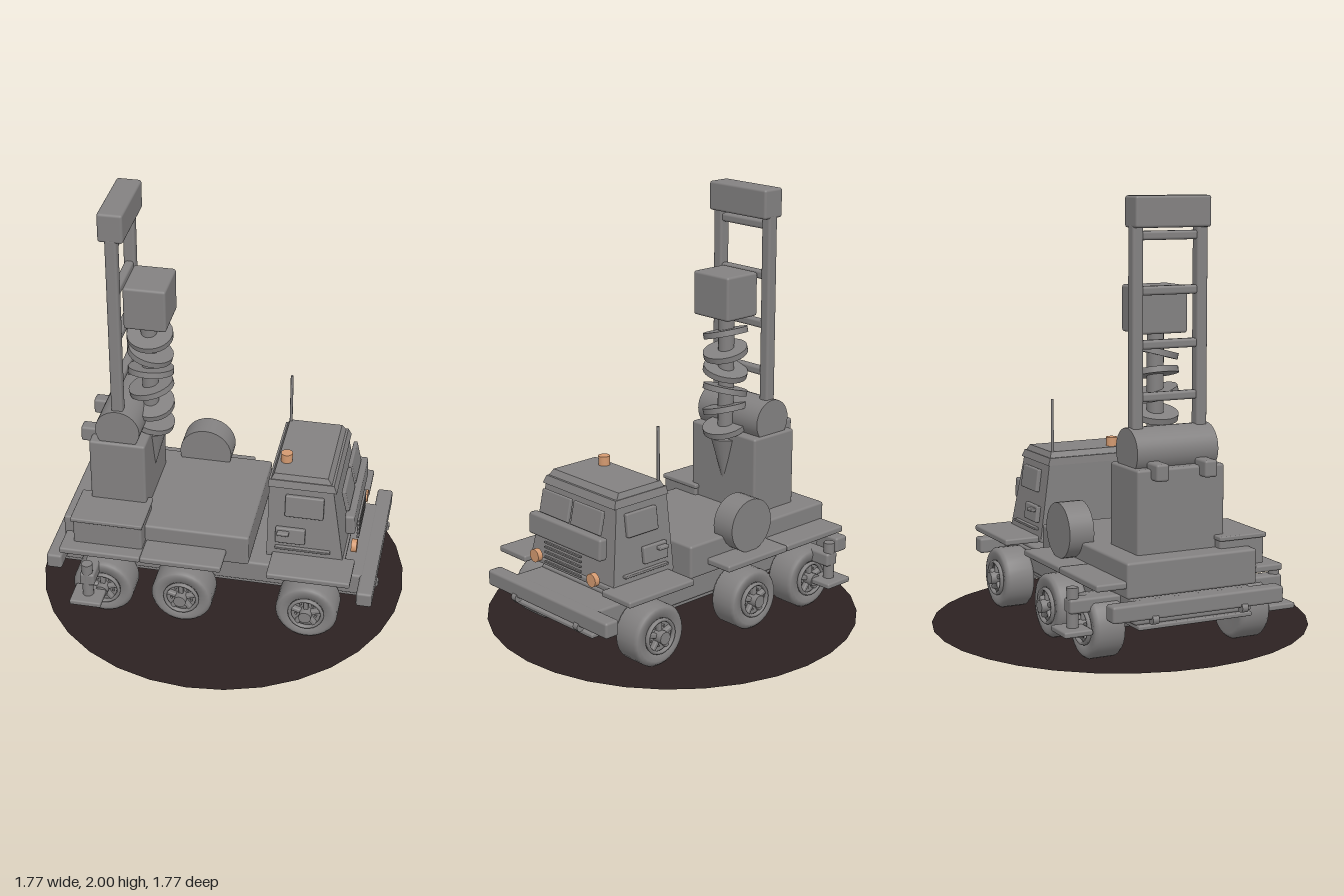
import * as THREE from 'three';
import { RoundedBoxGeometry } from 'three/addons/geometries/RoundedBoxGeometry.js';

const mat = (name, color, extra = {}) => {
  const m = new THREE.MeshStandardMaterial({ color, ...extra });
  m.name = name;
  return m;
};

export function createModel() {
  const grey = mat('paintedMetal', 0x838181);
  const amber = mat('amberLamp', 0xd49a70);
  const soil = mat('darkGround', 0x2c2222, { side: THREE.DoubleSide });
  const model = new THREE.Group();
  model.name = 'drillTruck';

  const add = (name, geo, x, y, z, parent = model, material = grey) => {
    const m = new THREE.Mesh(geo, material);
    m.name = name;
    m.position.set(x, y, z);
    parent.add(m);
    return m;
  };
  // Softened box given by its bounds
  const box = (name, x0, x1, y0, y1, z0, z1, parent = model) => {
    const w = x1 - x0, h = y1 - y0, d = z1 - z0;
    const r = Math.min(0.012, Math.min(w, h, d) * 0.3);
    return add(name, new RoundedBoxGeometry(w, h, d, 2, r), (x0 + x1) / 2, (y0 + y1) / 2, (z0 + z1) / 2, parent);
  };
  // Same box on both sides, z0 < z1 given for the +z side
  const pair = (name, x0, x1, y0, y1, z0, z1) => {
    box(name, x0, x1, y0, y1, z0, z1);
    box(name, x0, x1, y0, y1, -z1, -z0);
  };
  const cyl = (name, r, len, axis, x, y, z, sides = 24, parent = model, material = grey) => {
    const g = new THREE.CylinderGeometry(r, r, len, sides);
    if (axis === 'z') g.rotateX(Math.PI / 2);
    if (axis === 'x') g.rotateZ(-Math.PI / 2);
    return add(name, g, x, y, z, parent, material);
  };

  // Ground disc
  add('groundDisc', new THREE.CircleGeometry(0.885, 32).rotateX(-Math.PI / 2), 0, 0.005, 0, model, soil);

  // Chassis
  box('chassis', -0.72, 0.72, 0.18, 0.29, -0.29, 0.29);
  box('chassisFlange', -0.74, 0.74, 0.162, 0.182, -0.28, 0.28);
  for (const s of [-1, 1]) {
    box('bumper', s * 0.74 - 0.037, s * 0.74 + 0.037, 0.215, 0.29, -0.42, 0.42);
    for (const z of [-0.22, 0.22]) {
      cyl('towHook', 0.022, 0.03, 'z', s * 0.765, 0.213, z, 12);
    }
  }
  box('rearBed', -0.71, 0.18, 0.295, 0.455, -0.32, 0.32);
  pair('rearMudguard', -0.70, -0.312, 0.34, 0.372, 0.29, 0.46);
  pair('middleMudguard', -0.312, 0.073, 0.34, 0.372, 0.29, 0.46);
  pair('frontMudguard', 0.287, 0.675, 0.342, 0.372, 0.27, 0.46);
  box('cabMount', 0.31, 0.57, 0.27, 0.305, -0.28, 0.28);
  box('toolBox', -0.645, -0.315, 0.345, 0.495, 0.17, 0.395);
  box('toolBoxLid', -0.655, -0.31, 0.488, 0.51, 0.165, 0.402);
  cyl('sideDrum', 0.128, 0.12, 'z', -0.145, 0.495, -0.325, 28);

  // Wheels: rounded tyre, recessed rim, hub, spokes and nuts
  const tyreGeo = new THREE.LatheGeometry([
    [0.078, 0.05], [0.085, 0.068], [0.12, 0.075], [0.135, 0.07], [0.146, 0.056],
    [0.146, -0.056], [0.135, -0.07], [0.12, -0.075], [0.08, -0.07], [0, -0.07],
  ].reverse().map(([r, y]) => new THREE.Vector2(r, y)), 28).rotateX(Math.PI / 2);
  for (const x of [-0.5, -0.12, 0.475]) {
    cyl('axle', 0.03, 0.6, 'z', x, 0.146, 0, 12);
    for (const side of [1, -1]) {
      const wheel = new THREE.Group();
      wheel.name = 'wheel';
      wheel.position.set(x, 0.146, side * 0.362);
      if (side < 0) wheel.rotation.y = Math.PI;
      model.add(wheel);
      add('tyre', tyreGeo, 0, 0, 0, wheel);
      cyl('rim', 0.08, 0.11, 'z', 0, 0, 0, 24, wheel);
      const ring = add('rimRing', new THREE.TorusGeometry(0.077, 0.009, 6, 24), 0, 0, 0.074, wheel);
      ring.scale.z = 1.3;
      cyl('hub', 0.03, 0.055, 'z', 0, 0, 0.08, 12, wheel);
      for (let i = 0; i < 5; i++) {
        const a = (i / 5) * Math.PI * 2 + Math.PI / 2;
        const spoke = box('spoke', -0.028, 0.028, -0.011, 0.011, 0.05, 0.078, wheel);
        spoke.position.x = Math.cos(a) * 0.048;
        spoke.position.y = Math.sin(a) * 0.048;
        spoke.rotation.z = a;
        cyl('nut', 0.006, 0.012, 'z', Math.cos(a + 0.6) * 0.05, Math.sin(a + 0.6) * 0.05, 0.06, 6, wheel);
      }
    }
  }

  // Outriggers
  for (const s of [-1, 1]) {
    box('outriggerArm', -0.585, -0.515, 0.225, 0.29, s * 0.405 - 0.125, s * 0.405 + 0.125);
    cyl('outriggerJack', 0.026, 0.2, 'y', -0.552, 0.238, s * 0.505, 16);
    box('outriggerFoot', -0.627, -0.477, 0.135, 0.162, s * 0.508 - 0.067, s * 0.508 + 0.067);
  }

  // Drill tower
  box('towerBase', -0.60, -0.333, 0.44, 0.828, -0.215, 0.215);
  cyl('tiltDrum', 0.105, 0.4, 'z', -0.465, 0.89, 0, 32);
  pair('rearBracket', -0.655, -0.55, 0.78, 0.857, 0.088, 0.15);
  pair('mastRail', -0.495, -0.44, 0.85, 1.88, 0.132, 0.185);
  for (const y of [1.125, 1.355, 1.59, 1.828]) {
    box('mastRung', -0.488, -0.447, y - 0.02, y + 0.02, -0.14, 0.14);
  }
  box('mastHead', -0.525, -0.41, 1.862, 2.0, -0.185, 0.185);

  // Auger: motor, shaft, tilted flights turning a quarter each, pointed bit
  box('drillMotor', -0.44, -0.243, 1.395, 1.605, -0.115, 0.115);
  cyl('drillShaft', 0.038, 0.66, 'y', -0.35, 1.09, 0, 16);
  for (let i = 0; i < 6; i++) {
    const flight = cyl('augerFlight', 0.107, 0.028, 'y', -0.345, 1.31 - i * 0.093, 0, 28);
    flight.rotation.order = 'YXZ';
    flight.rotation.set(0.26, i * Math.PI / 2, 0);
  }
  add('drillBit', new THREE.ConeGeometry(0.068, 0.25, 20).rotateX(Math.PI), -0.347, 0.665, 0);

  // Cab: box whose top is pulled in
  const tapered = (name, y0, y1, b, t) => {
    const g = new THREE.BoxGeometry(1, 1, 1);
    const p = g.attributes.position;
    for (let i = 0; i < p.count; i++) {
      const [xb, xf, hz] = p.getY(i) > 0 ? t : b;
      p.setXYZ(i, p.getX(i) > 0 ? xf : xb, p.getY(i) > 0 ? y1 : y0, Math.sign(p.getZ(i)) * hz);
    }
    g.computeVertexNormals();
    return add(name, g, 0, 0, 0);
  };
  tapered('cabBody', 0.365, 0.745, [0.26, 0.62, 0.29], [0.26, 0.555, 0.24]);
  box('cabFloor', 0.258, 0.63, 0.345, 0.372, -0.29, 0.29);
  tapered('roofEdge', 0.715, 0.75, [0.255, 0.575, 0.25], [0.258, 0.56, 0.24]);
  tapered('roof', 0.745, 0.777, [0.265, 0.553, 0.238], [0.28, 0.53, 0.225]);

  // Doors, windows and handles
  const lean = 0.13;
  for (const s of [-1, 1]) {
    const win = box('sideWindow', 0.34, 0.52, 0.575, 0.685, s * 0.263 - 0.012, s * 0.263 + 0.012);
    const panel = box('doorPanel', 0.30, 0.44, 0.435, 0.515, s * 0.285 - 0.012, s * 0.285 + 0.012);
    win.rotation.x = panel.rotation.x = -s * lean;
    box('doorHandle', 0.31, 0.366, 0.487, 0.503, s * 0.303 - 0.015, s * 0.303 + 0.015);
    box('doorSill', 0.30, 0.56, 0.40, 0.412, s * 0.292 - 0.012, s * 0.292 + 0.012);
    const pane = box('windscreenPane', 0.602, 0.622, 0.595, 0.705, s * 0.11 - 0.1, s * 0.11 + 0.1);
    pane.rotation.z = 0.22;
    // Headlamps
    cyl('headlamp', 0.031, 0.026, 'x', 0.662, 0.396, s * 0.2, 20, model, amber);
  }
  const hood = box('noseBox', 0.617, 0.664, 0.493, 0.595, -0.25, 0.25);
  hood.rotation.z = 0.06;
  for (let i = 0; i < 5; i++) {
    const y = 0.39 + i * 0.0235;
    box('grilleSlat', 0.662, 0.674, y - 0.005, y + 0.005, -0.128, 0.128);
  }

  // Roof fittings
  cyl('beacon', 0.027, 0.045, 'y', 0.32, 0.798, 0.115, 20, model, amber);
  cyl('aerial', 0.007, 0.27, 'y', 0.285, 0.895, -0.216, 8);
  return model;
}
